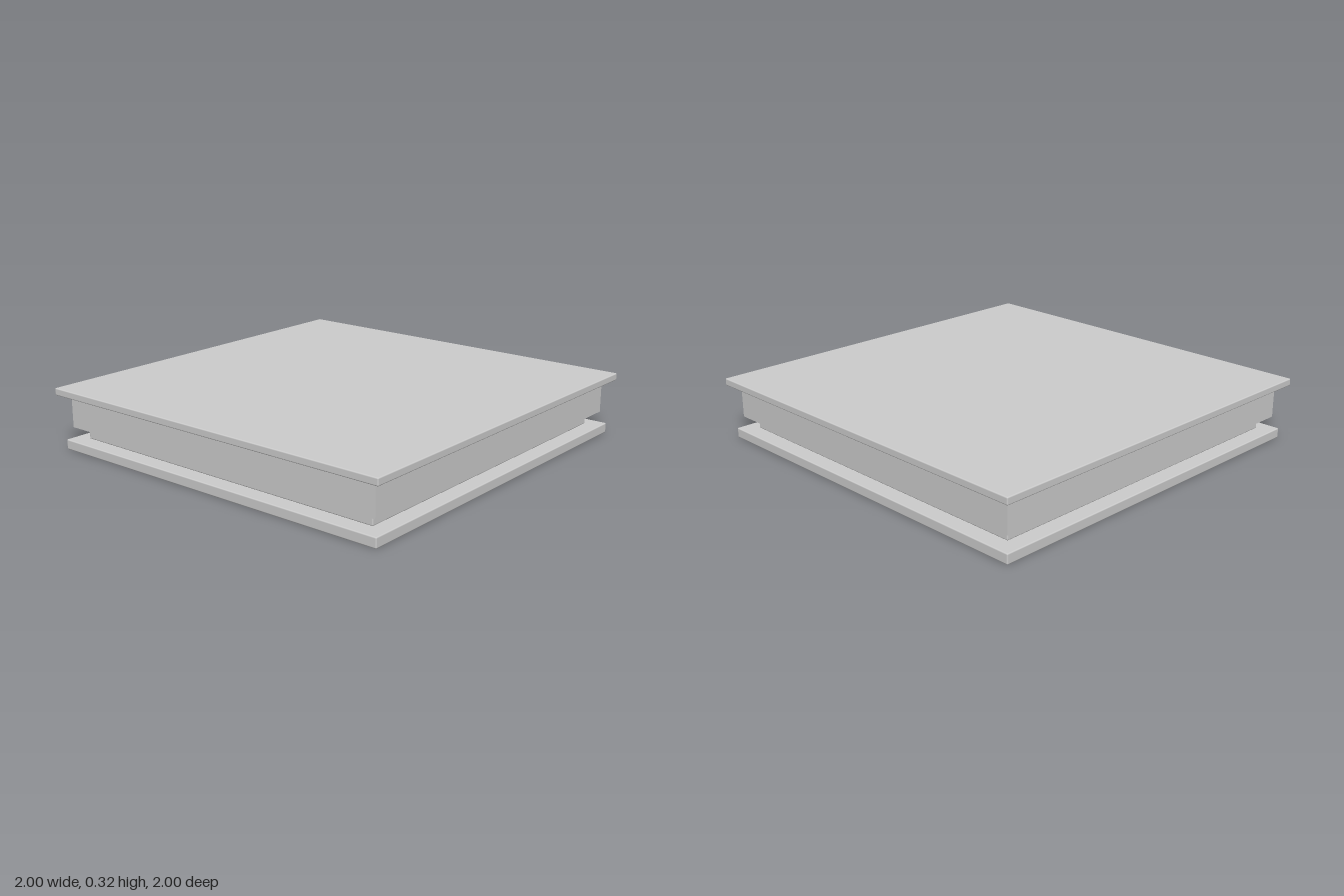
import * as THREE from 'three';
import { RoundedBoxGeometry } from 'three/addons/geometries/RoundedBoxGeometry.js';

// Stacked square slabs: name, half width, bottom y, top y, edge radius
const LAYERS = [
  ['basePlate', 0.972, 0, 0.051, 0.006],
  ['recessedStep', 0.892, 0.051, 0.113, 0.006],
  ['mainBody', 0.945, 0.113, 0.28, 0],
  ['topSlab', 1, 0.28, 0.317, 0.006],
];

export function createModel() {
  const group = new THREE.Group();
  group.name = 'squarePlatform';
  const material = new THREE.MeshStandardMaterial({ color: 0xcccccc });

  for (const [name, half, bottom, top, radius] of LAYERS) {
    const size = [half * 2, top - bottom, half * 2];
    // the plates have finely eased edges, the body is sharp
    const geometry = radius
      ? new RoundedBoxGeometry(...size, 2, radius)
      : new THREE.BoxGeometry(...size);
    const mesh = new THREE.Mesh(geometry, material);
    mesh.name = name;
    mesh.position.y = (bottom + top) / 2;
    group.add(mesh);
  }
  return group;
}
